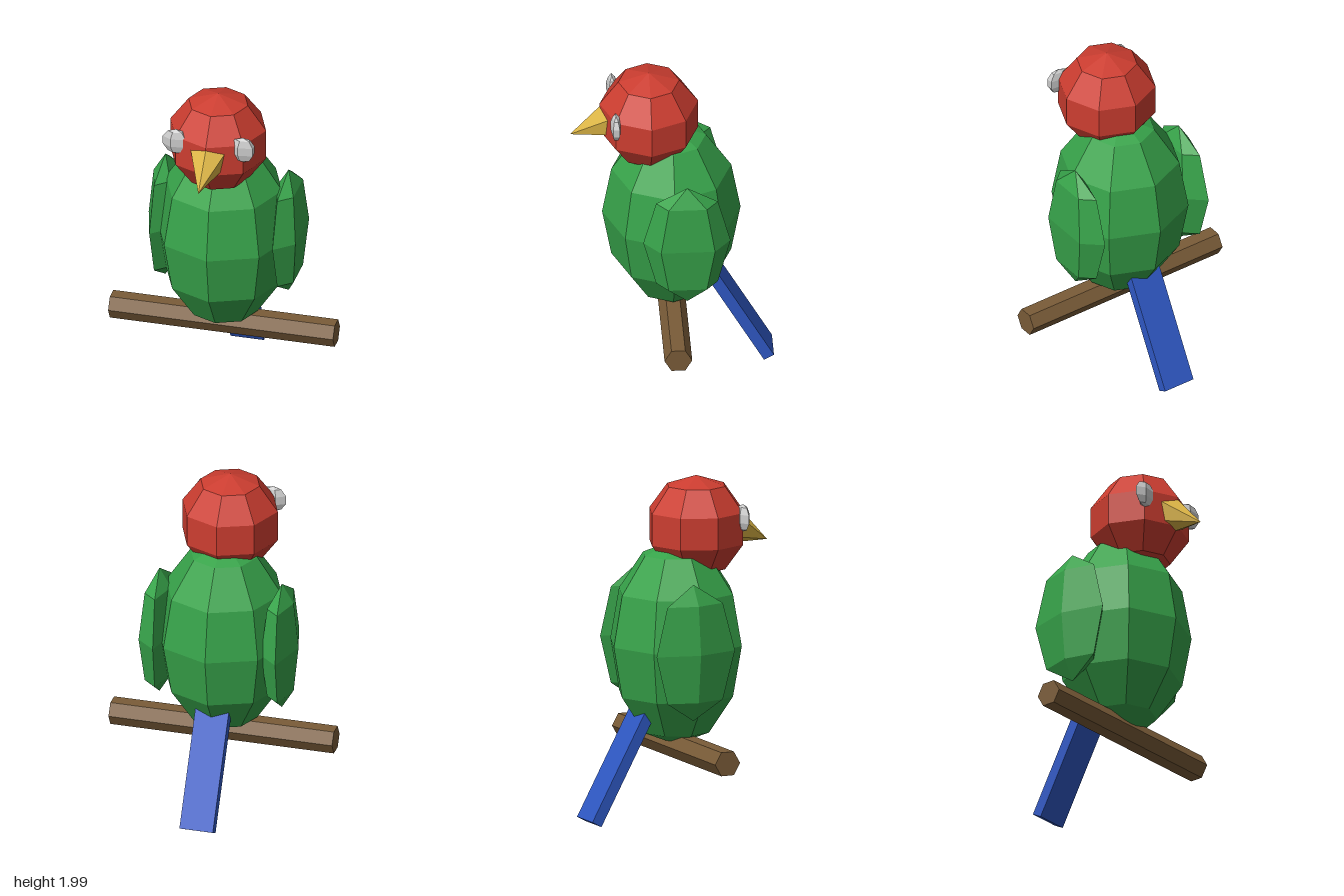
import * as THREE from 'three';

const paint = (color) => new THREE.MeshStandardMaterial({ color, flatShading: true });

export function createModel() {
  const group = new THREE.Group();
  const green = paint(0x37a34a), red = paint(0xcc3d30), blue = paint(0x2f58c4);
  const brown = paint(0x7a5c38), gold = paint(0xdcb545), grey = paint(0xcccccc);

  function add(name, geometry, material, x, y, z) {
    const mesh = new THREE.Mesh(geometry, material);
    mesh.name = name;
    mesh.position.set(x, y, z);
    group.add(mesh);
    return mesh;
  }

  // Low-poly ellipsoid with the given radii and segment counts
  const ellipsoid = (rx, ry, rz, w, h) => new THREE.SphereGeometry(1, w, h).scale(rx, ry, rz);

  // Body and head
  add('body', ellipsoid(0.4, 0.6, 0.4, 8, 6), green, 0, 1.03, 0);
  add('head', ellipsoid(0.3, 0.3, 0.3, 8, 5), red, 0, 1.7, 0.13);

  // Wings and eyes, the same facets on both sides
  const wing = ellipsoid(0.1, 0.4, 0.265, 5, 4);
  const eye = ellipsoid(0.082, 0.08, 0.034, 5, 5);
  for (const [side, s] of [['left', 1], ['right', -1]]) {
    add(side + 'Wing', wing, green, s * 0.367, 1.035, -0.07);
    add(side + 'Eye', eye, grey, s * 0.2, 1.765, 0.332);
  }

  // Beak, pointing forward and down
  const beak = add('beak', new THREE.ConeGeometry(0.135, 0.3, 6), gold, 0, 1.646, 0.448);
  beak.rotation.x = THREE.MathUtils.degToRad(114);

  // Tail, slanting down behind the body
  const tail = add('tail', new THREE.BoxGeometry(0.2, 0.75, 0.066), blue, 0, 0.35, -0.378);
  tail.rotation.x = 0.502;

  // Perch
  const perch = add('perch', new THREE.CylinderGeometry(0.08, 0.08, 1.34, 6), brown, 0, 0.43, 0);
  perch.rotation.z = Math.PI / 2;

  return group;
}
